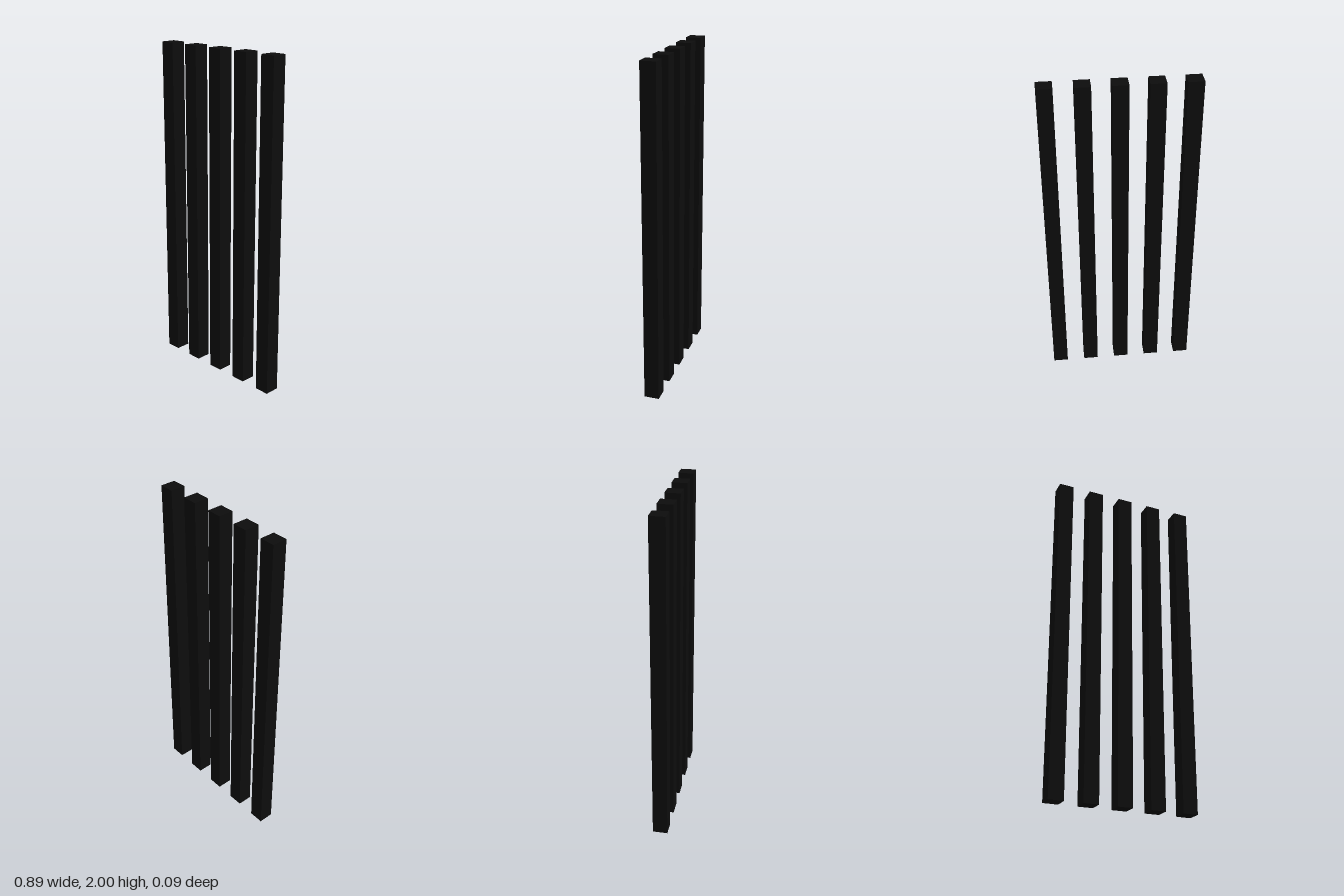
import * as THREE from 'three';

export function createModel() {
  const group = new THREE.Group();
  const material = new THREE.MeshStandardMaterial({ color: 0x0d0d0d });

  // Five identical square bars, evenly spaced along x
  const count = 5, spacing = 0.2, width = 0.09, height = 2;
  const geometry = new THREE.BoxGeometry(width, height, width);
  for (let i = 0; i < count; i++) {
    const bar = new THREE.Mesh(geometry, material);
    bar.name = `bar${i + 1}`;
    bar.position.set((i - (count - 1) / 2) * spacing, height / 2, 0);
    group.add(bar);
  }
  return group;
}
